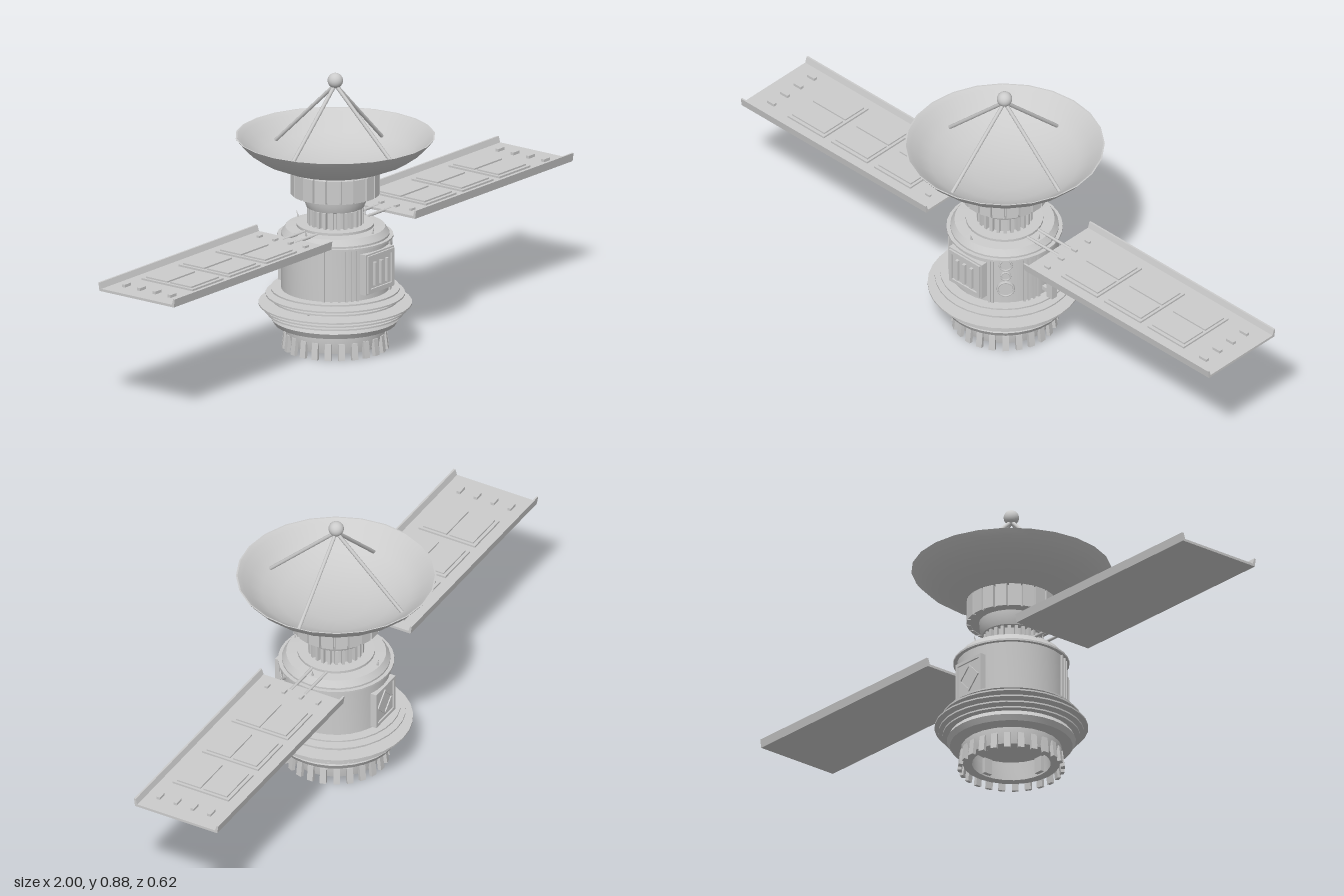
import * as THREE from 'three';
import { toCreasedNormals } from 'three/addons/utils/BufferGeometryUtils.js';

const mat = new THREE.MeshStandardMaterial({ color: 0xcccccc });
const thin = new THREE.MeshStandardMaterial({ color: 0xcccccc, side: THREE.DoubleSide });

function add(parent, name, geo, x = 0, y = 0, z = 0, material = mat) {
  const m = new THREE.Mesh(geo, material);
  m.name = name;
  m.position.set(x, y, z);
  parent.add(m);
  return m;
}
const box = (w, h, d) => new THREE.BoxGeometry(w, h, d);
const V = (x, y, z) => new THREE.Vector3(x, y, z);

// Turned part from [radius, height] pairs, listed from bottom to top on the outside
function lathe(parent, name, pts, seg = 32, crease = 0.5, material = mat) {
  const geo = new THREE.LatheGeometry(pts.map(p => new THREE.Vector2(...p)), seg);
  return add(parent, name, toCreasedNormals(geo, crease), 0, 0, 0, material);
}

// Place a part on the hull: angle in degrees from the front toward +x
function onHull(parent, name, geo, deg, r, y) {
  const a = THREE.MathUtils.degToRad(deg);
  const m = add(parent, name, geo, Math.sin(a) * r, y, Math.cos(a) * r);
  m.rotation.y = a;
  return m;
}
function repeat(parent, name, geo, count, r, y, tilt = 0) {
  const g = new THREE.Group();
  g.name = name;
  for (let i = 0; i < count; i++) {
    const m = onHull(g, name + 'Piece', geo, (i * 360) / count, r, y);
    m.rotation.order = 'YXZ';
    m.rotation.x = tilt;
  }
  parent.add(g);
}

function rod(parent, name, a, b, r) {
  return add(parent, name, new THREE.TubeGeometry(new THREE.LineCurve3(a, b), 1, r, 8));
}

function frame(w, h, border, depth) {
  const s = new THREE.Shape([[-w, -h], [w, -h], [w, h], [-w, h]].map(p => new THREE.Vector2(p[0] / 2, p[1] / 2)));
  const iw = w / 2 - border, ih = h / 2 - border;
  s.holes.push(new THREE.Path([[-iw, -ih], [-iw, ih], [iw, ih], [iw, -ih]].map(p => new THREE.Vector2(...p))));
  return new THREE.ExtrudeGeometry(s, { depth, bevelEnabled: false });
}

// Docking collar with a ring of claws
function dockingCollar() {
  const g = new THREE.Group();
  g.name = 'dockingCollar';
  lathe(g, 'collarRing', [[0.122, 0.02], [0.15, 0.02], [0.156, 0.05], [0.156, 0.073], [0.122, 0.073], [0.122, 0.02]], 24);
  lathe(g, 'collarNeck', [[0.122, 0.06], [0.122, 0.1]], 24, 0.5, thin);
  repeat(g, 'collarClaws', box(0.02, 0.053, 0.012), 24, 0.157, 0.027, -0.12);
  for (const a of [0, 90, 180, 270]) onHull(g, 'innerLatch', box(0.03, 0.05, 0.016), a, 0.116, 0.05);
  return g;
}

// Main hull: skirt, flanges, cylinder and top deck
function hull() {
  const g = new THREE.Group();
  g.name = 'hull';
  lathe(g, 'skirt', [[0, 0.08], [0.19, 0.08], [0.2, 0.097], [0.192, 0.112], [0.178, 0.14], [0.165, 0.17], [0.16, 0.19]]);
  const flanges = [[0.213, 0.115], [0.225, 0.129], [0.238, 0.143], [0.197, 0.157], [0.216, 0.173], [0.2, 0.19]];
  for (const [r, y] of flanges)
    add(g, 'flange', new THREE.CylinderGeometry(r, r, 0.005, 32), 0, y, 0);
  lathe(g, 'cylinder', [[0.168, 0.18], [0.168, 0.37], [0.155, 0.39], [0.12, 0.392], [0.12, 0.4], [0, 0.4]]);
  add(g, 'topBand', new THREE.CylinderGeometry(0.18, 0.18, 0.006, 32), 0, 0.361, 0);
  for (const a of [25, 50, 75, 100, 205, 230, 255, 280]) {
    const m = onHull(g, 'button', new THREE.SphereGeometry(0.007, 10, 8), a, 0.176, 0.152);
    m.scale.y = 0.8;
  }
  for (const a of [0, 90, 180, 270]) {
    const m = onHull(g, 'deckSpike', new THREE.ConeGeometry(0.005, 0.03, 6), a, 0.148, 0.398);
    m.rotation.order = 'YXZ';
    m.rotation.x = 0.25;
  }
  return g;
}

// Equipment mounted around the hull wall
function hullEquipment() {
  const g = new THREE.Group();
  g.name = 'hullEquipment';
  onHull(g, 'frontPanel', box(0.14, 0.13, 0.03), 0, 0.16, 0.277);
  onHull(g, 'frontPanelFrame', frame(0.13, 0.12, 0.012, 0.006), 0, 0.175, 0.277);
  for (const x of [-0.03, 0, 0.03]) add(g, 'frontPanelBar', box(0.01, 0.075, 0.012), x, 0.275, 0.179);
  onHull(g, 'backPanel', box(0.12, 0.125, 0.02), 180, 0.162, 0.26);
  onHull(g, 'backPanelFrame', frame(0.12, 0.125, 0.01, 0.006), 180, 0.171, 0.26);
  const diamond = onHull(g, 'backPanelDiamond', frame(0.065, 0.065, 0.006, 0.005), 180, 0.171, 0.26);
  diamond.rotation.z = Math.PI / 4;
  // Round ports
  for (const [y, r] of [[0.248, 0.028], [0.298, 0.016], [0.34, 0.021]]) {
    const disc = new THREE.CylinderGeometry(r, r, 0.016, 20).rotateX(Math.PI / 2);
    onHull(g, 'port', disc, 45, 0.165, y);
    onHull(g, 'portRim', new THREE.TorusGeometry(r * 0.9, 0.003, 6, 20), 45, 0.173, y);
  }
  // Vertical conduits and the side fin
  for (const a of [28, 31, 65, 70, 76, 82, -28, -34, -40, -48, -56, -64])
    onHull(g, 'conduit', box(0.007, 0.18, 0.012), a, 0.168, 0.272);
  onHull(g, 'sideFin', box(0.022, 0.15, 0.024), 90, 0.202, 0.27);
  for (const y of [0.215, 0.325]) onHull(g, 'finBracket', box(0.014, 0.014, 0.04), 90, 0.18, y);
  return g;
}

// Ribbed neck and panelled drum that carry the dish
function neck() {
  const g = new THREE.Group();
  g.name = 'neck';
  lathe(g, 'neckCore', [[0.075, 0.395], [0.075, 0.45], [0.09, 0.455], [0.098, 0.475], [0.1, 0.5]], 28);
  repeat(g, 'neckRibs', box(0.01, 0.055, 0.014), 24, 0.08, 0.425);
  add(g, 'drumCore', new THREE.CylinderGeometry(0.13, 0.13, 0.07, 20), 0, 0.534, 0);
  repeat(g, 'drumPanels', box(0.036, 0.074, 0.012), 20, 0.132, 0.534);
  return g;
}

// Dish with feed struts and ball
function dish() {
  const g = new THREE.Group();
  g.name = 'dish';
  const outer = [[0, 0.567], [0.1, 0.571], [0.177, 0.588], [0.235, 0.613], [0.272, 0.639], [0.296, 0.662], [0.31, 0.68]];
  const inner = outer.map(([r, y]) => [r * 0.985, Math.min(y + 0.008, 0.68)]).reverse();
  lathe(g, 'bowl', [...outer, ...inner], 24, 0.6);
  for (let i = 0; i < 4; i++) {
    const a = (i * Math.PI) / 2;
    rod(g, 'feedStrut', V(0, 0.845, 0), V(Math.sin(a) * 0.235, 0.622, Math.cos(a) * 0.235), 0.006);
  }
  add(g, 'feedBall', new THREE.SphereGeometry(0.024, 20, 14), 0, 0.858, 0);
  return g;
}

// One solar wing toward +x
function wing() {
  const g = new THREE.Group();
  const section = new THREE.Shape([
    [-0.146, 0.385], [0.146, 0.385], [0.15, 0.412], [0.144, 0.412], [0.138, 0.393],
    [-0.138, 0.393], [-0.144, 0.412], [-0.15, 0.412],
  ].map(p => new THREE.Vector2(...p)));
  const tray = new THREE.ExtrudeGeometry(section, { depth: 0.79, bevelEnabled: false });
  add(g, 'tray', tray.rotateY(Math.PI / 2), 0.21, 0, -0.005);
  for (const x of [0.4, 0.585, 0.77]) {
    add(g, 'cellBase', box(0.155, 0.008, 0.2), x, 0.395, -0.005);
    for (const s of [-1, 1]) add(g, 'cell', box(0.138, 0.008, 0.084), x, 0.4, -0.005 + s * 0.047);
  }
  for (const z of [-0.09, -0.03, 0.03, 0.09]) {
    add(g, 'outerClip', box(0.03, 0.01, 0.012), 0.93, 0.397, z);
    add(g, 'innerClip', box(0.02, 0.008, 0.01), 0.26, 0.396, z);
  }
  for (const z of [-0.03, 0.02]) rod(g, 'linkRod', V(0.06, 0.392, z), V(0.24, 0.392, z), 0.005);
  return g;
}

export function createModel() {
  const model = new THREE.Group();
  model.name = 'satellite';
  const core = new THREE.Group();
  core.name = 'core';
  core.position.x = -0.01;
  core.add(dockingCollar(), hull(), hullEquipment(), neck(), dish());
  model.add(core);
  const left = wing(), right = wing();
  left.name = 'leftWing';
  right.name = 'rightWing';
  right.rotation.y = Math.PI;
  right.position.z = -0.01;
  model.add(left, right);
  return model;
}
